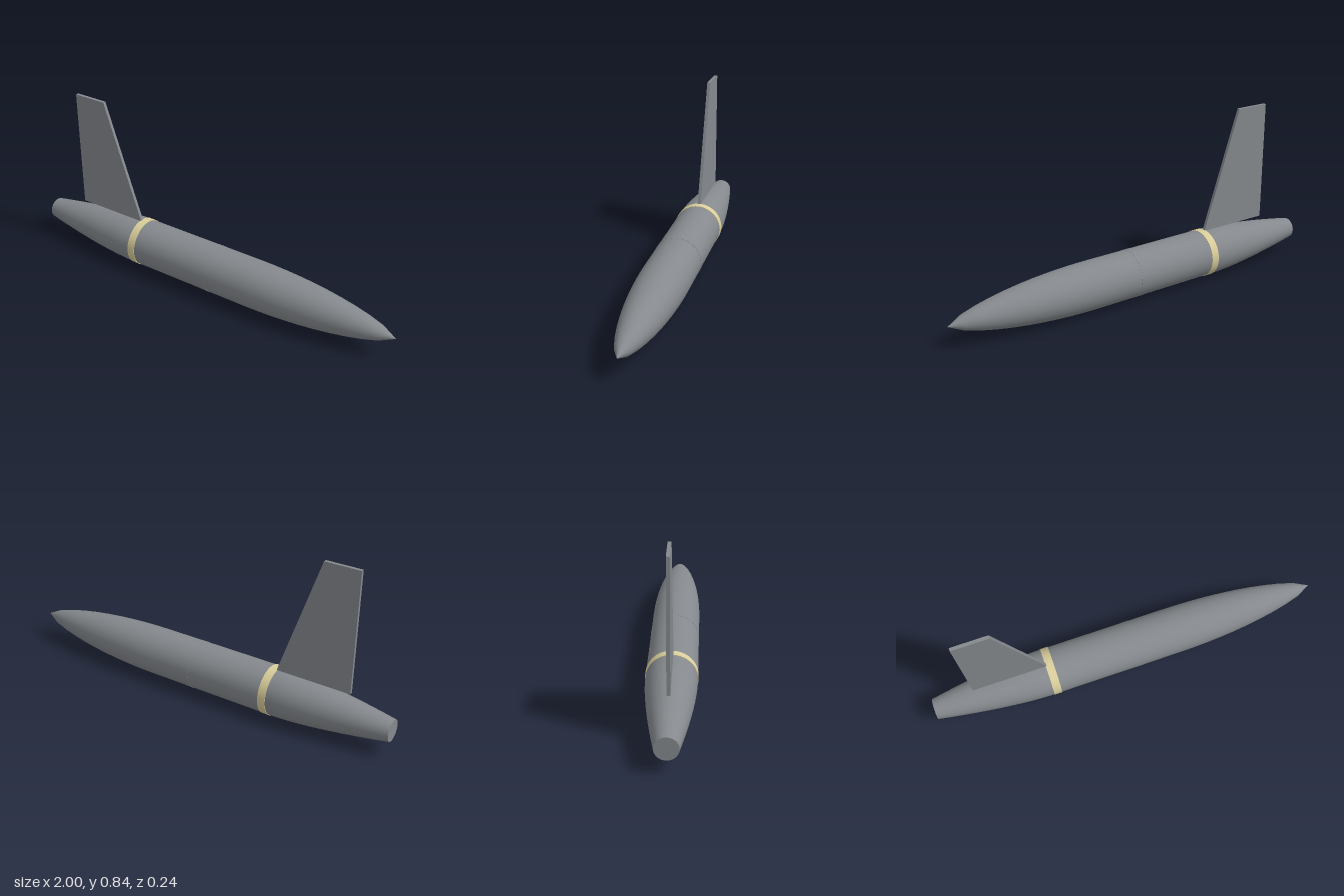
import * as THREE from 'three';

const AXIS_Y = 0.12; // height of the fuselage axis
const R = 0.1175; // fuselage radius

export function createModel() {
  const model = new THREE.Group();
  const grey = new THREE.MeshStandardMaterial({ color: 0x85898d });
  grey.name = 'hull grey';
  const cream = new THREE.MeshStandardMaterial({ color: 0xd8cd9a });
  cream.name = 'band cream';

  // Spins [x, radius] stations about the fuselage axis
  function spin(name, stations, material) {
    const points = stations.map(([x, r]) => new THREE.Vector2(r, x));
    const mesh = new THREE.Mesh(new THREE.LatheGeometry(points, 64), material);
    mesh.name = name;
    mesh.rotation.z = -Math.PI / 2;
    mesh.position.y = AXIS_Y;
    model.add(mesh);
  }

  // Fuselage: tapered tail, straight middle, rounded nose ending in a point
  const body = [];
  for (let i = 0; i <= 8; i++) {
    const t = 1 - i / 8;
    body.push([-0.45 - 0.55 * t, R - (R - 0.052) * t ** 1.5]);
  }
  for (let i = 0; i <= 10; i++) {
    const t = i / 10;
    body.push([0.25 + 0.75 * t, R * (1 - t * t) ** 0.7]);
  }
  spin('fuselage', body, grey);

  // Flat tail end
  spin('tailCap', [[-1, 0], [-1, 0.052]], grey);

  // Raised rings round the fuselage
  function ring(name, x, width, r, material) {
    const a = x - width / 2, b = x + width / 2;
    // Corners are doubled so the edges stay sharp
    spin(name, [[a, R - 0.004], [a, r], [a, r], [b, r], [b, r], [b, R - 0.004]], material);
  }
  ring('creamBand', -0.4, 0.04, 0.12, cream);
  ring('jointRing', 0.03, 0.04, 0.1185, grey);

  // Swept upright fin
  const outline = [[-0.79, 0.237], [-0.415, 0.237], [-0.62, 0.84], [-0.795, 0.84]];
  const shape = new THREE.Shape(outline.map(([x, y]) => new THREE.Vector2(x, y)));
  const finGeometry = new THREE.ExtrudeGeometry(shape, { depth: 0.016, bevelEnabled: false });
  finGeometry.translate(0, 0, -0.008);
  const fin = new THREE.Mesh(finGeometry, grey);
  fin.name = 'fin';
  model.add(fin);

  return model;
}
